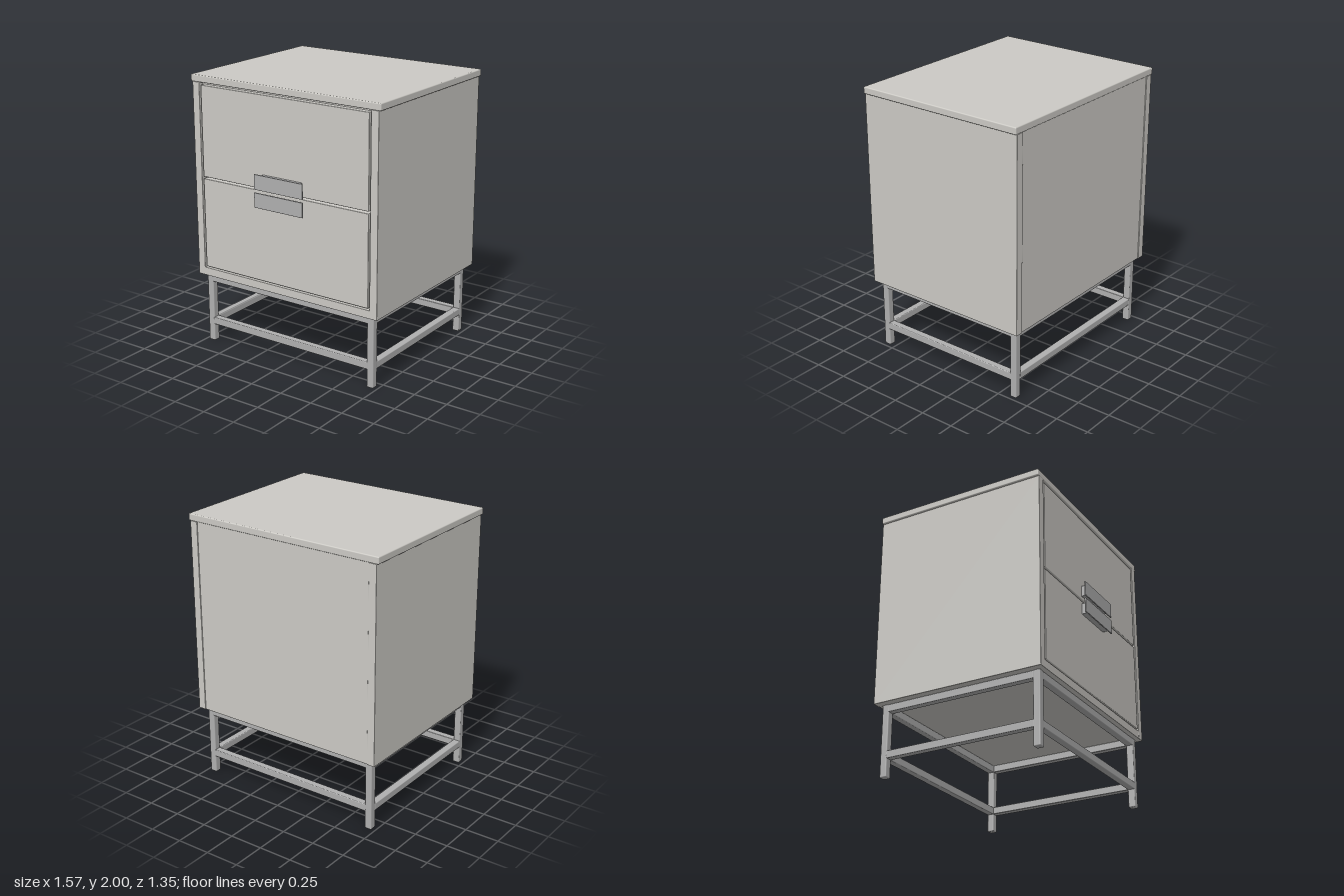
import * as THREE from 'three';
import { RoundedBoxGeometry } from 'three/addons/geometries/RoundedBoxGeometry.js';

const wood = new THREE.MeshStandardMaterial({ color: 0xcccac5 });
const metal = new THREE.MeshStandardMaterial({ color: 0xb0b0b0 });

// Box given by its [min, max] range on each axis, with softened edges
function block(parent, name, x, y, z, material, radius = 0.005) {
  const size = [x, y, z].map(([a, b]) => b - a);
  const mesh = new THREE.Mesh(new RoundedBoxGeometry(...size, 2, radius), material);
  mesh.position.set((x[0] + x[1]) / 2, (y[0] + y[1]) / 2, (z[0] + z[1]) / 2);
  mesh.name = name;
  parent.add(mesh);
}

function group(parent, name) {
  const g = new THREE.Group();
  g.name = name;
  parent.add(g);
  return g;
}

export function createModel() {
  const model = new THREE.Group();
  model.name = 'bedsideCabinet';
  const front = 0.626, back = -0.677;

  // Carcass
  const carcass = group(model, 'carcass');
  block(carcass, 'topPanel', [-0.787, 0.787], [1.949, 2], [back, front], wood, 0.008);
  block(carcass, 'topSupport', [-0.715, 0.715], [1.925, 1.951], [back + 0.01, front - 0.04], wood, 0.002);
  for (const s of [-1, 1]) {
    const x = [0.713 * s, 0.772 * s].sort((a, b) => a - b);
    block(carcass, s > 0 ? 'leftSide' : 'rightSide', x, [0.524, 1.95], [back, front], wood, 0.003);
  }
  block(carcass, 'bottomPanel', [-0.715, 0.715], [0.524, 0.583], [back + 0.006, front - 0.001], wood, 0.002);
  block(carcass, 'backPanel', [-0.715, 0.715], [0.575, 1.95], [back + 0.006, back + 0.03], wood, 0.002);

  // Drawers, each with a flat pull plate on a shorter stem
  const drawers = [
    { name: 'upperDrawer', y: [1.271, 1.932], plate: [1.275, 1.384], stem: [1.294, 1.374] },
    { name: 'lowerDrawer', y: [0.594, 1.257], plate: [1.146, 1.253], stem: [1.154, 1.236] },
  ];
  for (const d of drawers) {
    const drawer = group(model, d.name);
    block(drawer, 'drawerFront', [-0.7, 0.7], d.y, [front - 0.06, front - 0.001], wood);
    block(drawer, 'handleStem', [-0.165, 0.165], d.stem, [front - 0.01, 0.672], metal, 0.002);
    block(drawer, 'handlePlate', [-0.204, 0.204], d.plate, [0.667, 0.677], metal, 0.002);
  }

  // Square-tube stand: four legs joined by two levels of rails
  const stand = group(model, 'stand');
  const legX = 0.698, legZ = 0.587, midZ = -0.022, h = 0.0265;
  const around = (c) => [c - h, c + h];
  for (const sx of [-1, 1]) {
    for (const sz of [-1, 1]) {
      block(stand, 'leg', around(sx * legX), [0, 0.525], around(midZ + sz * legZ), metal, 0.008);
    }
  }
  for (const y of [[0.468, 0.522], [0.132, 0.186]]) {
    for (const s of [-1, 1]) {
      block(stand, 'crossRail', [-legX + 0.02, legX - 0.02], y, around(midZ + s * legZ), metal, 0.006);
      block(stand, 'sideRail', around(s * legX), y, [midZ - legZ + 0.02, midZ + legZ - 0.02], metal, 0.006);
    }
  }
  return model;
}
